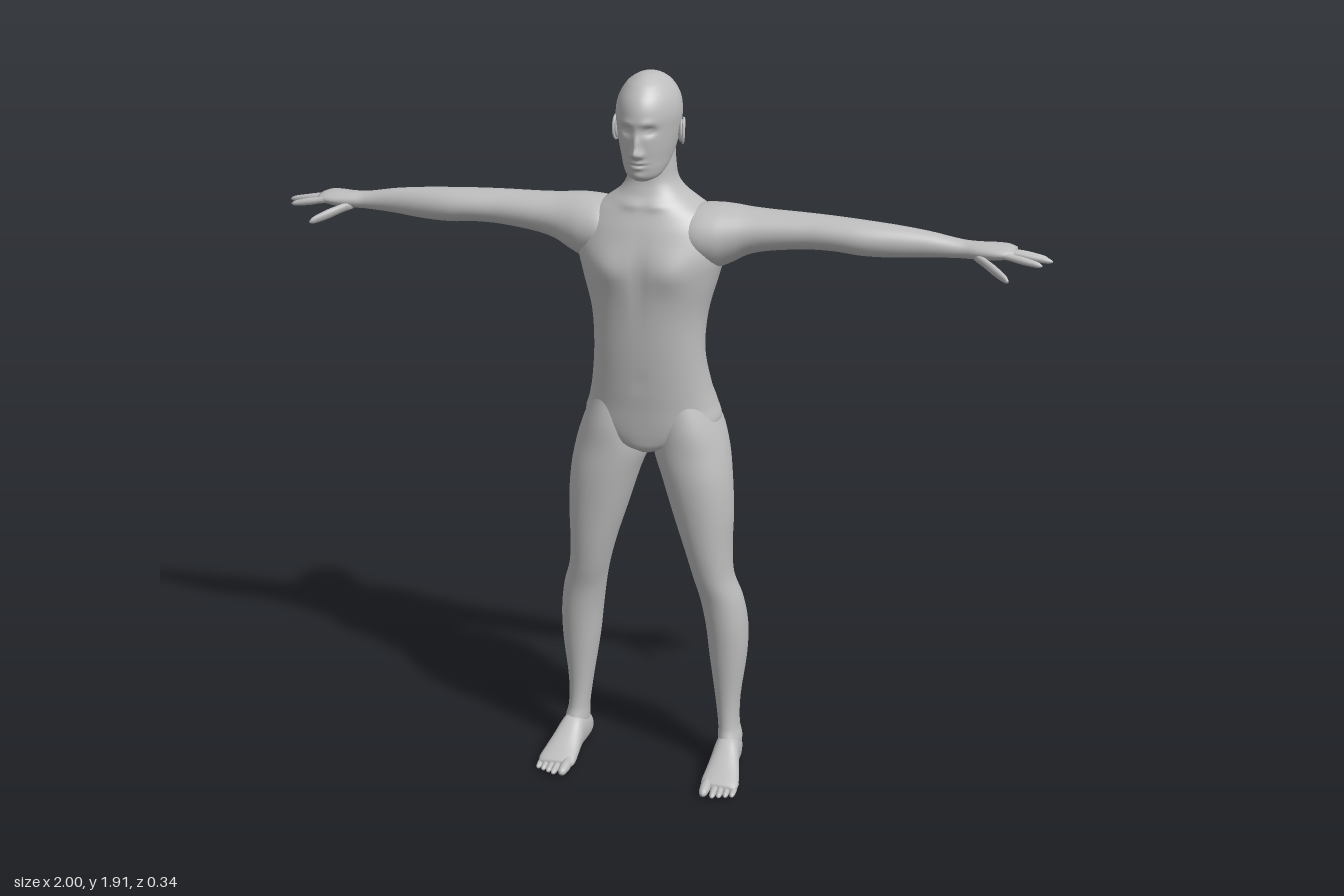
import * as THREE from 'three';

const skin = new THREE.MeshStandardMaterial({ color: 0xbdbdbd });
skin.name = 'plain grey';

// Maps (distance along axis, offset a, offset b) to a point for each loft axis
const AXES = {
  y: (t, a, b) => [a, t, b], // a = x, b = z
  x: (t, a, b) => [t, a, b], // a = y, b = z
  z: (t, a, b) => [a, b, t], // a = x, b = y
};

// Smooth curve through the section values at span i, fraction f
function blend(s, i, f, k) {
  const slope = (j) => {
    const p = s[Math.max(j - 1, 0)], q = s[Math.min(j + 1, s.length - 1)];
    return (q[k] - p[k]) / (q[0] - p[0]);
  };
  const h = s[i + 1][0] - s[i][0], f2 = f * f, f3 = f2 * f;
  return (2 * f3 - 3 * f2 + 1) * s[i][k] + (f3 - 2 * f2 + f) * h * slope(i)
    + (3 * f2 - 2 * f3) * s[i + 1][k] + (f3 - f2) * h * slope(i + 1);
}

// Closed skin over sections [t, aMin, aMax, bMin, bMax]
function loft(name, axis, sections, { seg = 28, steps = 4, power = 2, side = 1, shape } = {}) {
  const pos = [], idx = [], rings = [];
  for (let i = 0; i < sections.length - 1; i++) {
    for (let j = 0; j < steps; j++) rings.push([i, j / steps]);
  }
  rings.push([sections.length - 2, 1]);
  const put = (t, a, b, facing) => {
    const p = AXES[axis](t, a, b);
    if (shape) shape(p, facing);
    pos.push(p[0] * side, p[1], p[2]);
  };
  const ends = [];
  rings.forEach(([i, f], r) => {
    const t = sections[i][0] + f * (sections[i + 1][0] - sections[i][0]);
    const [a0, a1, b0, b1] = [1, 2, 3, 4].map((k) => blend(sections, i, f, k));
    const a = (a0 + a1) / 2, b = (b0 + b1) / 2;
    for (let s = 0; s < seg; s++) {
      const c = Math.cos(s / seg * Math.PI * 2), d = Math.sin(s / seg * Math.PI * 2);
      const e = (v) => Math.sign(v) * Math.abs(v) ** (2 / power);
      put(t, a + e(c) * (a1 - a0) / 2, b + e(d) * (b1 - b0) / 2, d);
    }
    if (r === 0 || r === rings.length - 1) ends.push([t, a, b]);
  });
  for (let r = 0; r < rings.length - 1; r++) {
    for (let s = 0; s < seg; s++) {
      const p = r * seg + s, q = r * seg + (s + 1) % seg;
      idx.push(p, p + seg, q, q, p + seg, q + seg);
    }
  }
  // end caps
  const n = rings.length * seg;
  ends.forEach((e) => put(...e, 0));
  for (let s = 0; s < seg; s++) {
    const s2 = (s + 1) % seg;
    idx.push(n, s, s2, n + 1, n - seg + s2, n - seg + s);
  }
  // turn faces outward
  let volume = 0;
  const v = (i) => new THREE.Vector3().fromArray(pos, i * 3);
  for (let i = 0; i < idx.length; i += 3) volume += v(idx[i]).dot(v(idx[i + 1]).cross(v(idx[i + 2])));
  if (volume < 0) idx.reverse();
  const g = new THREE.BufferGeometry();
  g.setAttribute('position', new THREE.Float32BufferAttribute(pos, 3));
  g.setIndex(idx);
  g.computeVertexNormals();
  const mesh = new THREE.Mesh(g, skin);
  mesh.name = name;
  return mesh;
}

// Soft mirrored bumps [x, y, front(1) or back(-1), depth in z, width, height]
const bumps = (list) => (p, facing) => {
  const [x, y] = p;
  for (const [bx, by, dir, amp, w, h] of list) {
    const k = Math.min(1, Math.max(0, facing * dir) * 1.6);
    p[2] += k * amp * Math.exp(-(((Math.abs(x) - bx) / w) ** 2) - ((y - by) / h) ** 2);
  }
};

// Tapered digit with a rounded tip, from point p to q
function digit(name, axis, p, q, r, side) {
  const rows = [[0, 1], [0.3, 0.92], [0.55, 1], [0.8, 0.85], [0.93, 0.65], [1, 0.2]].map(([f, k]) => {
    const [t, a, b] = p.map((v, i) => v + (q[i] - v) * f);
    return [t, a - r * k, a + r * k, b - r * k, b + r * k];
  });
  return loft(name, axis, rows, { seg: 12, steps: 3, side });
}

function buildTorso() {
  return loft('torsoAndNeck', 'y', [
    [0.925, -0.03, 0.03, -0.07, 0.035], [0.94, -0.075, 0.075, -0.12, 0.055],
    [0.965, -0.14, 0.14, -0.148, 0.062], [1.0, -0.178, 0.178, -0.168, 0.066],
    [1.05, -0.168, 0.168, -0.165, 0.07], [1.1, -0.156, 0.156, -0.142, 0.075],
    [1.2, -0.144, 0.144, -0.11, 0.083], [1.3, -0.15, 0.15, -0.125, 0.088],
    [1.4, -0.176, 0.176, -0.145, 0.094], [1.46, -0.19, 0.19, -0.155, 0.09],
    [1.52, -0.18, 0.18, -0.157, 0.072], [1.56, -0.15, 0.15, -0.15, 0.055],
    [1.585, -0.115, 0.115, -0.138, 0.044], [1.61, -0.083, 0.083, -0.122, 0.032],
    [1.64, -0.064, 0.064, -0.106, 0.022], [1.68, -0.058, 0.058, -0.1, 0.02],
    [1.73, -0.055, 0.055, -0.098, 0.02],
  ], {
    seg: 72, steps: 5, power: 2.25,
    shape: bumps([
      [0, 0.99, -1, 0.04, 0.016, 0.06],      // gluteal cleft
      [0.08, 1.0, -1, -0.008, 0.05, 0.06],   // buttocks
      [0, 1.3, -1, 0.014, 0.022, 0.2],       // spine
      [0.095, 1.47, -1, -0.014, 0.045, 0.07], // shoulder blades
      [0.08, 1.425, 1, 0.012, 0.05, 0.045],  // chest
      [0, 1.4, 1, -0.005, 0.014, 0.09],      // breastbone
      [0.03, 1.585, 1, 0.006, 0.03, 0.012],  // collarbones
      [0, 1.13, 1, -0.006, 0.008, 0.01],     // navel
    ]),
  });
}

function buildHead() {
  const head = new THREE.Group();
  head.name = 'head';
  const face = bumps([
    [0, 1.73, 1, 0.019, 0.011, 0.012],  // nose tip
    [0, 1.752, 1, 0.013, 0.008, 0.022], // nose bridge
    [0.012, 1.726, 1, 0.007, 0.006, 0.007], // nostrils
    [0.03, 1.785, 1, -0.013, 0.014, 0.011], // eye sockets
    [0.03, 1.785, 1, 0.006, 0.008, 0.005], // eyelids
    [0.025, 1.805, 1, 0.004, 0.02, 0.008],  // brows
    [0, 1.706, 1, 0.006, 0.018, 0.005],  // upper lip
    [0, 1.7, 1, -0.004, 0.02, 0.0025],   // mouth line
    [0, 1.693, 1, 0.005, 0.015, 0.005],  // lower lip
    [0, 1.67, 1, 0.005, 0.018, 0.01],    // chin
  ]);
  head.add(loft('skullAndFace', 'y', [
    [1.655, -0.02, 0.02, 0.035, 0.072], [1.665, -0.04, 0.04, 0.0, 0.085],
    [1.685, -0.054, 0.054, -0.045, 0.093], [1.71, -0.063, 0.063, -0.08, 0.097],
    [1.74, -0.071, 0.071, -0.1, 0.101], [1.78, -0.078, 0.078, -0.114, 0.104],
    [1.82, -0.081, 0.081, -0.117, 0.105], [1.855, -0.074, 0.074, -0.111, 0.094],
    [1.885, -0.056, 0.056, -0.088, 0.068], [1.9, -0.038, 0.038, -0.064, 0.045],
    [1.909, -0.02, 0.02, -0.036, 0.022], [1.912, -0.004, 0.004, -0.012, 0.0],
  ], {
    seg: 96, steps: 8,
    shape: (p, facing) => {
      p[0] *= 1 - 0.1 * Math.max(0, facing); // narrower towards the face
      face(p, facing);
    },
  }));
  for (const side of [1, -1]) {
    // ear: rim around a flat inner shell
    const ear = new THREE.Group();
    ear.name = side > 0 ? 'leftEar' : 'rightEar';
    const shell = new THREE.Mesh(new THREE.SphereGeometry(1, 16, 12), skin);
    shell.name = 'earShell';
    shell.scale.set(0.008, 0.028, 0.015);
    const rim = new THREE.Mesh(new THREE.TorusGeometry(0.014, 0.004, 8, 24), skin);
    rim.name = 'earRim';
    rim.rotation.y = Math.PI / 2;
    rim.scale.y = 1.9;
    rim.position.x = side * 0.005;
    ear.add(shell, rim);
    ear.position.set(side * 0.081, 1.768, -0.012);
    ear.rotation.set(-0.15, side * 0.3, 0);
    head.add(ear);
  }
  return head;
}

function buildArm(side) {
  const arm = new THREE.Group();
  arm.name = side > 0 ? 'leftArm' : 'rightArm';
  arm.add(loft('armAndPalm', 'x', [
    [0.07, 1.46, 1.56, -0.11, 0.03], [0.12, 1.43, 1.578, -0.135, 0.052],
    [0.17, 1.42, 1.583, -0.137, 0.05], [0.21, 1.436, 1.581, -0.13, 0.038],
    [0.25, 1.458, 1.577, -0.12, 0.026], [0.3, 1.472, 1.575, -0.11, 0.018],
    [0.4, 1.484, 1.573, -0.102, 0.01], [0.47, 1.486, 1.571, -0.098, 0.012],
    [0.54, 1.481, 1.568, -0.092, 0.012], [0.62, 1.482, 1.562, -0.085, 0.0],
    [0.7, 1.488, 1.552, -0.08, -0.015], [0.78, 1.491, 1.537, -0.08, -0.025],
    [0.82, 1.492, 1.535, -0.085, -0.018], [0.86, 1.493, 1.534, -0.098, -0.013],
    [0.89, 1.498, 1.531, -0.103, -0.015], [0.91, 1.505, 1.524, -0.094, -0.025],
  ], { seg: 36, side }));
  const digits = [
    ['thumb', [0.815, 1.505, -0.035], [0.908, 1.468, 0.037], 0.013],
    ['indexFinger', [0.87, 1.516, -0.026], [0.98, 1.498, -0.014], 0.0098],
    ['middleFinger', [0.87, 1.518, -0.048], [1.0, 1.499, -0.054], 0.01],
    ['ringFinger', [0.87, 1.515, -0.07], [0.986, 1.494, -0.09], 0.0096],
    ['littleFinger', [0.86, 1.511, -0.088], [0.935, 1.486, -0.126], 0.009],
  ];
  for (const [name, p, q, r] of digits) arm.add(digit(name, 'x', p, q, r, side));
  return arm;
}

function buildLeg(side) {
  const leg = new THREE.Group();
  leg.name = side > 0 ? 'leftLeg' : 'rightLeg';
  leg.add(loft('thighAndCalf', 'y', [
    [1.09, 0.03, 0.14, -0.11, 0.045], [1.0, 0.012, 0.181, -0.164, 0.062],
    [0.93, 0.006, 0.203, -0.156, 0.064], [0.85, 0.033, 0.216, -0.13, 0.066],
    [0.75, 0.064, 0.222, -0.116, 0.06], [0.65, 0.096, 0.22, -0.104, 0.05],
    [0.57, 0.118, 0.225, -0.1, 0.036], [0.5, 0.134, 0.246, -0.116, 0.02],
    [0.42, 0.147, 0.258, -0.13, 0.01], [0.33, 0.157, 0.257, -0.125, 0.0],
    [0.2, 0.176, 0.242, -0.103, -0.012], [0.12, 0.186, 0.242, -0.097, -0.01],
    [0.08, 0.187, 0.25, -0.103, 0.004], [0.03, 0.19, 0.245, -0.1, 0.0],
  ], { seg: 40, side, power: 2.1 }));
  leg.add(loft('foot', 'z', [
    [-0.112, 0.205, 0.225, 0.015, 0.035], [-0.103, 0.191, 0.238, 0.003, 0.06],
    [-0.06, 0.184, 0.25, 0, 0.09], [-0.01, 0.185, 0.255, 0, 0.1],
    [0.03, 0.183, 0.265, 0.001, 0.076], [0.07, 0.18, 0.275, 0, 0.052],
    [0.105, 0.179, 0.28, 0, 0.036], [0.125, 0.186, 0.274, 0.005, 0.026],
  ], { seg: 32, side, power: 2.4 }));
  // big toe on the inner side, then four smaller ones
  for (let i = 0; i < 5; i++) {
    const x = i === 0 ? 0.196 : 0.204 + i * 0.0165;
    const r = i === 0 ? 0.0145 : 0.0105 - i * 0.0004;
    const tip = i === 0 ? 0.166 : 0.171 - i * 0.007;
    leg.add(digit('toe', 'z', [0.085, x, r + 0.007], [tip, x + 0.002, r], r, side));
  }
  return leg;
}

export function createModel() {
  const model = new THREE.Group();
  model.name = 'humanFigure';
  model.add(buildTorso(), buildHead());
  for (const side of [1, -1]) model.add(buildArm(side), buildLeg(side));
  return model;
}
